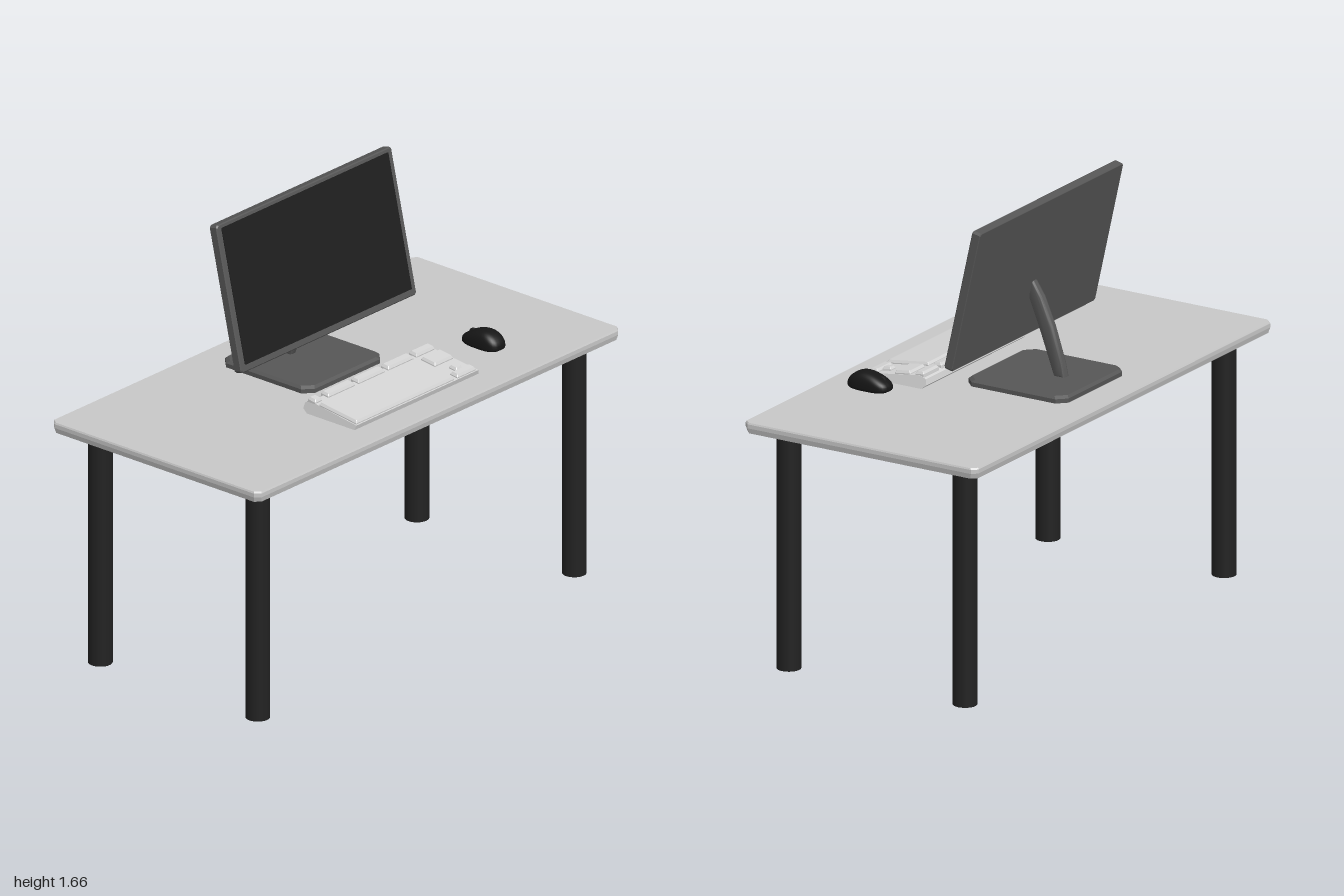
import * as THREE from 'three';
import { toCreasedNormals } from 'three/addons/utils/BufferGeometryUtils.js';

// Horizontal slab with cut corners; levels are [y, inset] from bottom to top
function slab(w, d, cut, levels) {
  const rings = levels.map(([y, inset]) => {
    const x = w / 2 - inset, z = d / 2 - inset, c = cut;
    return [[x, z - c], [x, c - z], [x - c, -z], [c - x, -z], [-x, c - z], [-x, z - c], [c - x, z], [x - c, z]]
      .map(([px, pz]) => [px, y, pz]);
  });
  const pos = [];
  const tri = (...pts) => pts.forEach((p) => pos.push(...p));
  const bottom = rings[0], top = rings[rings.length - 1];
  for (let i = 0; i < 8; i++) {
    const j = (i + 1) % 8;
    for (let k = 0; k < rings.length - 1; k++) {
      const lo = rings[k], hi = rings[k + 1];
      tri(lo[i], lo[j], hi[j]);
      tri(lo[i], hi[j], hi[i]);
    }
    tri([0, top[0][1], 0], top[i], top[j]);
    tri([0, bottom[0][1], 0], bottom[j], bottom[i]);
  }
  const geo = new THREE.BufferGeometry();
  geo.setAttribute('position', new THREE.Float32BufferAttribute(pos, 3));
  geo.computeVertexNormals();
  return geo;
}

export function createModel() {
  const model = new THREE.Group();
  model.name = 'computerDesk';
  const material = (name, color) => {
    const m = new THREE.MeshStandardMaterial({ color });
    m.name = name;
    return m;
  };
  const deskGrey = material('deskGrey', 0xc8c8c8);
  const keyGrey = material('keyboardGrey', 0xd4d4d4);
  const standGrey = material('standGrey', 0x565656);
  const legBlack = material('legBlack', 0x222222);
  const screenBlack = material('screenBlack', 0x1e1e1e);
  const mouseBlack = material('mouseBlack', 0x161616);

  const add = (name, geo, mat, x = 0, y = 0, z = 0, parent = model) => {
    const mesh = new THREE.Mesh(geo, mat);
    mesh.name = name;
    mesh.position.set(x, y, z);
    parent.add(mesh);
    return mesh;
  };

  // Desk
  add('tableTop', slab(1, 2, 0.02, [[0.915, 0.005], [0.935, 0], [0.95, 0], [0.956, 0.003]]), deskGrey);
  const legGeo = new THREE.CylinderGeometry(0.045, 0.045, 0.916, 32);
  for (const x of [-0.372, 0.385])
    for (const z of [-0.87, 0.87]) add('leg', legGeo, legBlack, x, 0.458, z);

  // Monitor foot
  add('monitorFoot', slab(0.43, 0.43, 0.035, [[0.956, 0], [0.972, 0], [0.981, 0.01]]), standGrey, -0.162, 0, -0.002);

  // Leaning arm with rounded edges
  const armOutline = [[-0.255, 0.975], [-0.244, 1.03], [-0.2, 1.165], [-0.155, 1.27], [-0.113, 1.33],
    [-0.093, 1.27], [-0.145, 1.14], [-0.185, 1.03], [-0.205, 0.975]];
  const armShape = new THREE.Shape(armOutline.map(([x, y]) => new THREE.Vector2(x, y)));
  const armGeo = new THREE.ExtrudeGeometry(armShape, {
    depth: 0.01, bevelSize: 0.014, bevelOffset: -0.014, bevelThickness: 0.014, bevelSegments: 4,
  });
  add('monitorArm', toCreasedNormals(armGeo, 0.7), standGrey, 0, 0, -0.005);

  // Tilted display facing +x
  const display = new THREE.Group();
  display.name = 'display';
  display.position.set(-0.109, 1.378, 0.002);
  display.rotation.z = 0.221;
  model.add(display);
  const frameGeo = slab(0.562, 0.964, 0.008, [[-0.018, 0.003], [-0.015, 0], [0.014, 0], [0.018, 0.004]]);
  add('displayFrame', frameGeo.rotateZ(-Math.PI / 2), standGrey, 0, 0, 0, display);
  const screenGeo = slab(0.52, 0.916, 0.002, [[0, 0], [0.004, 0]]);
  add('screen', screenGeo.rotateZ(-Math.PI / 2), screenBlack, 0.0165, 0.006, 0, display);

  // Keyboard: wedge body whose ends lean inwards towards the top
  const keyboard = new THREE.Group();
  keyboard.name = 'keyboard';
  model.add(keyboard);
  const profile = [[0.155, 0.957], [0.385, 0.957], [0.39, 0.975], [0.165, 1.004], [0.14, 0.994], [0.135, 0.972]];
  const bodyGeo = new THREE.ExtrudeGeometry(
    new THREE.Shape(profile.map(([x, y]) => new THREE.Vector2(x, y))),
    { depth: 0.68, bevelEnabled: false },
  ).translate(0, 0, -0.34);
  const p = bodyGeo.attributes.position;
  for (let i = 0; i < p.count; i++) p.setZ(i, p.getZ(i) * (1 - 0.7 * (p.getY(i) - 0.957)));
  bodyGeo.computeVertexNormals();
  add('keyboardBody', bodyGeo, keyGrey, 0, 0, -0.002, keyboard);

  // Raised key blocks as [name, xMin, xMax, zMin, zMax], lying on the slope
  const slope = -0.029 / 0.225;
  const blocks = [
    ['functionKeys', 0.15, 0.188, -0.33, -0.228],
    ['functionKeys', 0.15, 0.188, -0.212, -0.073],
    ['functionKeys', 0.15, 0.188, -0.055, 0.09],
    ['functionKeys', 0.15, 0.188, 0.11, 0.256],
    ['escapeKey', 0.15, 0.188, 0.29, 0.328],
    ['mainKeys', 0.204, 0.385, -0.212, 0.328],
    ['navigationKeys', 0.208, 0.276, -0.33, -0.228],
    ['upArrowKey', 0.312, 0.35, -0.298, -0.262],
    ['arrowKeys', 0.348, 0.385, -0.33, -0.228],
  ];
  for (const [name, x0, x1, z0, z1] of blocks) {
    const x = (x0 + x1) / 2;
    const geo = slab(x1 - x0, z1 - z0, 0.002, [[-0.008, 0], [0.004, 0], [0.013, 0.006]]);
    const mesh = add(name, geo, keyGrey, x, 1.004 + slope * (x - 0.165), (z0 + z1) / 2, keyboard);
    mesh.rotation.z = Math.atan(slope);
  }

  // Mouse: squared-off ellipsoid with a waist and a rear hump
  const mouse = new THREE.Group();
  mouse.name = 'mouse';
  mouse.position.set(0.27, 0.978, -0.503);
  model.add(mouse);
  const mouseGeo = new THREE.SphereGeometry(1, 32, 20);
  const q = mouseGeo.attributes.position;
  const soft = (v, e) => Math.sign(v) * Math.abs(v) ** e;
  for (let i = 0; i < q.count; i++) {
    const x = soft(q.getX(i), 0.75), y = soft(q.getY(i), 0.75), z = soft(q.getZ(i), 0.7);
    const crown = 0.044 + 0.012 * Math.cos((x - 0.25) * 2.2);
    q.setXYZ(i, x * 0.086, 0.018 + (y > 0 ? y * crown : y * 0.018), z * (0.047 + 0.005 * x * x));
  }
  mouseGeo.computeVertexNormals();
  add('mouseBody', mouseGeo, mouseBlack, 0, 0, 0, mouse);
  const wheelGeo = new THREE.CylinderGeometry(0.014, 0.014, 0.01, 20).rotateX(Math.PI / 2);
  add('scrollWheel', wheelGeo, legBlack, -0.05, 0.046, 0, mouse);

  return model;
}
